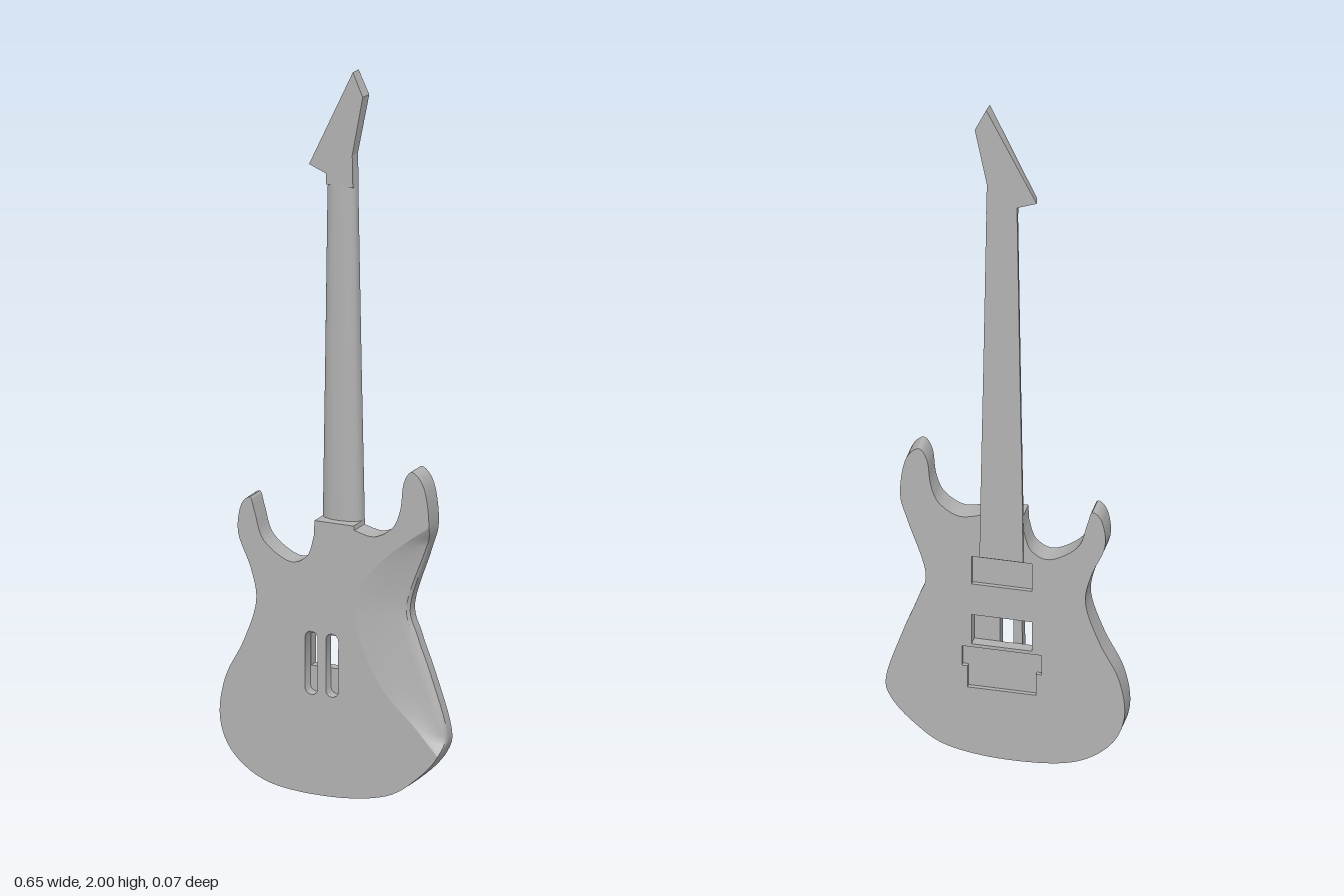
import * as THREE from 'three';
import { toCreasedNormals } from 'three/addons/utils/BufferGeometryUtils.js';

const V = (x, y) => new THREE.Vector2(x, y);
const K = 6; // samples per spline span
const BACK = 0.033;

// Surface through rows of [x, y, z] points; closed rows form capped tubes
function loft(rows, closed) {
  const n = rows[0].length, index = [];
  for (let i = 0; i < rows.length - 1; i++) {
    for (let j = 0; j < (closed ? n : n - 1); j++) {
      const a = i * n + j, b = i * n + (j + 1) % n;
      index.push(a, a + n, b, b, a + n, b + n);
    }
  }
  if (closed) {
    const top = (rows.length - 1) * n;
    for (let j = 1; j < n - 1; j++) index.push(0, j, j + 1, top, top + j + 1, top + j);
  }
  const g = new THREE.BufferGeometry();
  g.setAttribute('position', new THREE.Float32BufferAttribute(rows.flat(2), 3));
  g.setIndex(index);
  return toCreasedNormals(g, 0.6);
}

function slab(points, holes, z0, z1) {
  const shape = new THREE.Shape(points);
  shape.holes = holes.map((h) => new THREE.Path(h));
  const g = new THREE.ExtrudeGeometry(shape, { depth: z1 - z0, bevelEnabled: false });
  g.translate(0, 0, z0);
  return toCreasedNormals(g, 0.5);
}

const rect = (x0, x1, y0, y1) => [V(x0, y0), V(x1, y0), V(x1, y1), V(x0, y1)];

// Slot with softly rounded ends
function slot(cx, w, y0, y1) {
  const pts = [], r = w / 2;
  for (let i = 0; i <= 16; i++) {
    const a = (i % 17 <= 8 ? i : i - 1) / 15 * Math.PI * 2;
    const s = Math.sin(a);
    pts.push(V(cx + r * Math.cos(a), s >= 0 ? y1 - r + r * s : y0 + r + r * s));
  }
  pts.pop();
  return pts;
}

export function createModel() {
  const group = new THREE.Group();
  const grey = new THREE.MeshStandardMaterial({ color: 0xb2b2b2 });
  grey.name = 'plain grey';
  const add = (name, geometry) => {
    const mesh = new THREE.Mesh(geometry, grey);
    mesh.name = name;
    group.add(mesh);
  };

  // Body outline, clockwise from the right of the neck heel
  const outline = new THREE.SplineCurve([
    V(0.066, 0.745), V(0.124, 0.735), V(0.177, 0.767), V(0.2, 0.82), V(0.21, 0.895),
    V(0.235, 0.928), V(0.27, 0.885), V(0.283, 0.78), V(0.262, 0.7), V(0.214, 0.55),
    V(0.235, 0.466), V(0.275, 0.36), V(0.32, 0.217), V(0.308, 0.15), V(0.246, 0.08),
    V(0.156, 0.022), V(0, 0), V(-0.177, 0.015), V(-0.283, 0.08), V(-0.325, 0.175),
    V(-0.31, 0.29), V(-0.257, 0.397), V(-0.22, 0.51), V(-0.235, 0.6), V(-0.272, 0.693),
    V(-0.265, 0.77), V(-0.238, 0.797), V(-0.224, 0.757), V(-0.198, 0.683), V(-0.124, 0.635),
    V(-0.072, 0.656), V(-0.052, 0.714),
  ]);
  const rim = outline.getPoints((outline.points.length - 1) * K);
  const heel = [V(-0.05, 0.757), V(0.064, 0.757)];

  // Inner border of the waist contour, replacing outline spans 7 to 13
  const from = 7 * K, to = 13 * K;
  const contour = new THREE.SplineCurve([
    V(0.283, 0.78), V(0.215, 0.73), V(0.13, 0.655), V(0.07, 0.56),
    V(0.08, 0.45), V(0.145, 0.32), V(0.24, 0.225), V(0.308, 0.15),
  ]).getPoints(to - from);
  const edge = rim.slice(from, to + 1);
  const cutRim = [...rim.slice(0, from), ...contour, ...rim.slice(to + 1)];

  // Body in three layers, so that the cavities have floors
  const bridgeCavity = rect(-0.075, 0.089, 0.345, 0.435);
  const neckCavity = rect(-0.075, 0.089, 0.53, 0.615);
  const tremoloCavity = [
    V(-0.085, 0.21), V(0.1, 0.21), V(0.1, 0.275), V(0.115, 0.275),
    V(0.115, 0.335), V(-0.1, 0.335), V(-0.1, 0.275), V(-0.085, 0.275),
  ];
  const slots = [-0.059, 0.001].map((x) => slot(x, 0.037, 0.275, 0.45));
  add('bodyFace', slab([...rim, ...heel], [bridgeCavity, neckCavity, tremoloCavity], -0.03, -0.018));
  add('bodyCore', slab([...rim, ...heel], [bridgeCavity], -0.018, 0));
  add('bodyBack', slab([...cutRim, ...heel], slots, 0, BACK));

  // Scooped waist contour falling towards the outer edge
  const scoop = edge.map((q, i) => {
    const p = contour[i];
    const drop = BACK * Math.min(1, 3 * Math.sin(Math.PI * i / (edge.length - 1)));
    const row = [0, 0.2, 0.4, 0.6, 0.8, 0.94].map((s) => [
      p.x + (q.x - p.x) * s, p.y + (q.y - p.y) * s, BACK - drop * 0.75 * Math.pow(s / 0.94, 1.2),
    ]);
    row.push([q.x, q.y, BACK - drop], [q.x, q.y, 0]);
    return row;
  });
  add('waistContour', loft(scoop, false));

  // Neck: flat fingerboard in front, rounded behind
  const sections = [ // y, left x, right x, front z, back z
    [0.62, -0.052, 0.066, -0.037, 0.003],
    [0.79, -0.05, 0.064, -0.035, 0.006],
    [1.2, -0.042, 0.057, -0.031, 0.006],
    [1.66, -0.034, 0.05, -0.027, 0.004],
    [1.74, -0.03, 0.048, -0.027, 0.001],
  ];
  const neckRows = sections.map(([y, x0, x1, zf, zb]) => {
    const c = (x0 + x1) / 2, r = (x1 - x0) / 2, side = zf + 0.011;
    const row = [[x0, y, zf], [x1, y, zf]];
    for (let i = 0; i <= 12; i++) {
      const a = Math.PI * i / 12;
      row.push([c + r * Math.cos(a), y, side + (zb - side) * Math.sin(a)]);
    }
    return row;
  });
  add('neck', loft(neckRows, true));

  // Pointed headstock, slightly narrower behind
  const head = slab([
    V(-0.034, 1.68), V(-0.034, 1.71), V(-0.087, 1.73), V(0.05, 2),
    V(0.081, 1.935), V(0.048, 1.77), V(0.05, 1.68),
  ], [], -0.028, 0.002);
  const pos = head.attributes.position;
  for (let i = 0; i < pos.count; i++) {
    if (pos.getZ(i) > -0.01) pos.setX(i, 0.01 + (pos.getX(i) - 0.01) * 0.93);
  }
  head.computeVertexNormals();
  add('headstock', head);
  return group;
}
